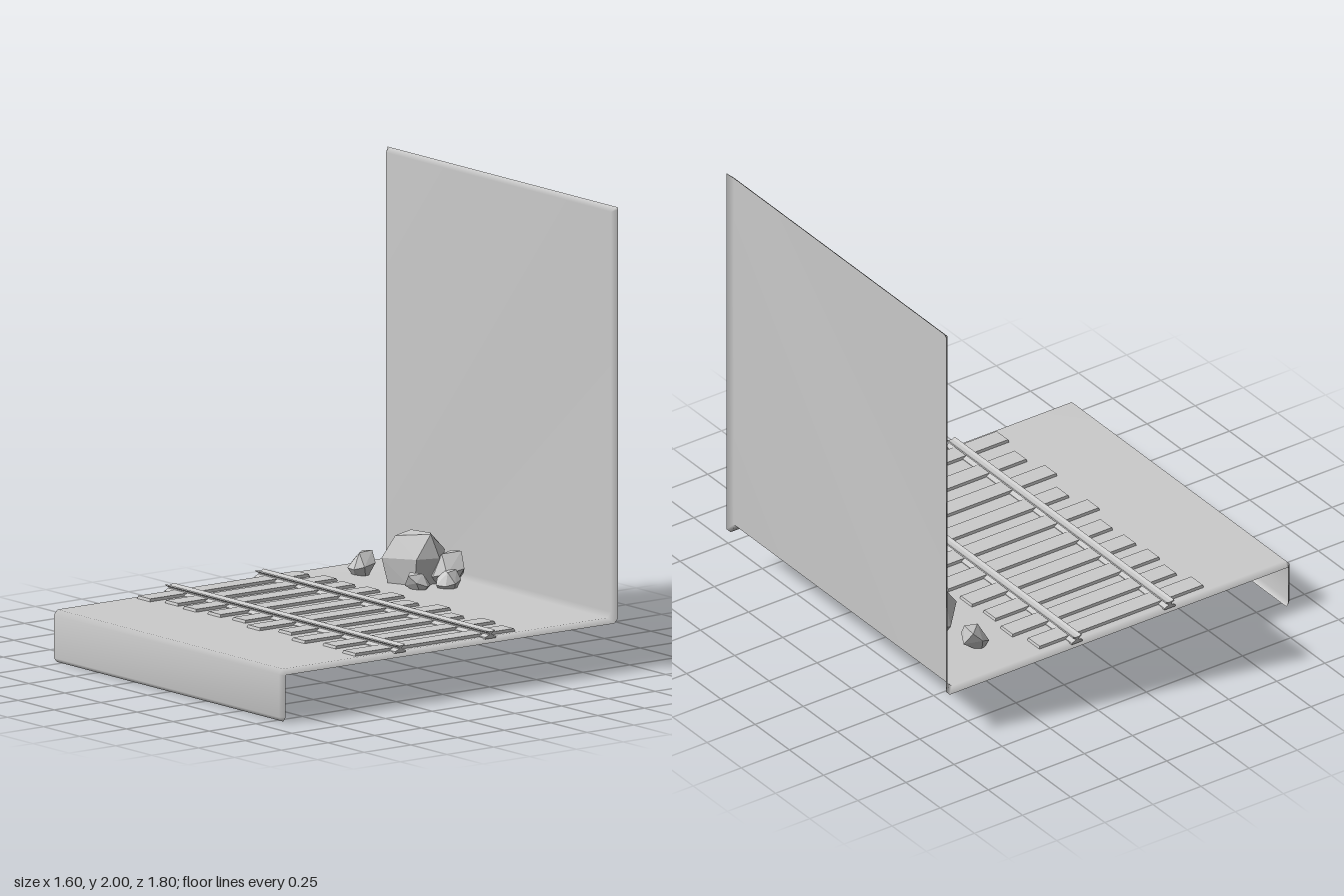
import * as THREE from 'three';
import { ConvexGeometry } from 'three/addons/geometries/ConvexGeometry.js';

const smooth = new THREE.MeshStandardMaterial({ color: 0xcccccc, side: THREE.DoubleSide });
const flat = new THREE.MeshStandardMaterial({ color: 0xcccccc, flatShading: true, side: THREE.DoubleSide });

function add(parent, name, geometry, material = flat) {
  const mesh = new THREE.Mesh(geometry, material);
  mesh.name = name;
  parent.add(mesh);
  return mesh;
}

// Bent sheet: front skirt, floor and back wall, with a bevelled rim folded behind it
function sheetGeometry() {
  // [z, y] of the visible face and of the rim behind it, from skirt bottom to wall top
  const face = [[0.9, 0.02], [0.9, 0.205], [0.88, 0.227], [-0.855, 0.227], [-0.877, 0.25], [-0.877, 1.98]];
  const rim = [[0.88, 0.02], [0.88, 0.2], [0.875, 0.203], [-0.88, 0.203], [-0.9, 0.225], [-0.9, 1.99]];
  const rows = [[[0.88, 0], [0.88, 0]]];
  face.forEach((f, i) => rows.push([rim[i], f]));
  rows.push([[-0.9, 2], [-0.9, 2]]);
  const pos = [], index = [];
  rows.forEach(([r, f], i) => {
    const outer = i === 0 ? 0.785 : 0.8;
    const inner = i === rows.length - 1 ? 0.79 : 0.78;
    [[-outer, r], [-inner, f], [inner, f], [outer, r]].forEach(([x, p]) => pos.push(x, p[1], p[0]));
  });
  for (let i = 0; i < rows.length - 1; i++) {
    for (let j = 0; j < 3; j++) {
      const a = i * 4 + j, b = a + 1, c = a + 4, d = a + 5;
      index.push(a, b, d, a, d, c);
    }
  }
  const g = new THREE.BufferGeometry();
  g.setAttribute('position', new THREE.Float32BufferAttribute(pos, 3));
  g.setIndex(index);
  g.computeVertexNormals();
  return g;
}

// Sleeper: a low plank whose top edges are drawn in
function sleeperGeometry(width, length) {
  const g = new THREE.BoxGeometry(width, 0.022, length);
  const p = g.attributes.position;
  for (let i = 0; i < p.count; i++) {
    if (p.getY(i) > 0) {
      p.setX(i, p.getX(i) - Math.sign(p.getX(i)) * 0.006);
      p.setZ(i, p.getZ(i) - Math.sign(p.getZ(i)) * 0.006);
    }
  }
  return g;
}

// Rail: waisted section, wide foot and flared head, swept along x
function railGeometry() {
  const half = [[0.028, 0.222], [0.028, 0.23], [0.007, 0.239], [0.007, 0.244], [0.023, 0.253], [0.021, 0.258], [0.008, 0.252]];
  const outline = [...half, ...half.map(([z, y]) => [-z, y]).reverse()];
  const shape = new THREE.Shape(outline.map(([z, y]) => new THREE.Vector2(z, y)));
  return new THREE.ExtrudeGeometry(shape, { depth: 1.6, bevelEnabled: false })
    .translate(0, 0, -0.8).rotateY(Math.PI / 2);
}

const hull = (points) => new ConvexGeometry(points.map((p) => new THREE.Vector3(...p)));

// Unit stone, fitted to each small rock
const STONE = [
  [-0.5, 0.1, -0.1], [-0.3, 0.42, -0.4], [0.25, 0.5, -0.3], [0.05, 0.45, 0.2], [0.5, 0.1, -0.2],
  [0.4, 0, 0.3], [0.05, -0.1, 0.5], [-0.4, -0.1, 0.35], [-0.25, -0.5, 0.1], [0.25, -0.5, 0.05], [0.1, -0.1, -0.5],
];

export function createModel() {
  const model = new THREE.Group();
  model.name = 'railwayDiorama';

  add(model, 'backdropSheet', sheetGeometry(), smooth);

  // Sleepers: [x, z], laid slightly unevenly
  const track = new THREE.Group();
  track.name = 'track';
  model.add(track);
  [[-0.71, 0.046], [-0.565, 0.009], [-0.42, 0.024], [-0.27, 0.009], [-0.112, -0.001], [0.05, 0.046],
    [0.207, -0.001], [0.378, 0.059], [0.545, 0.022], [0.717, 0.05]].forEach(([x, z]) => {
    add(track, 'sleeper', sleeperGeometry(0.095, 0.86)).position.set(x, 0.228, z);
  });

  // Two rails
  [0.265, -0.217].forEach((z) => {
    add(track, 'rail', railGeometry()).position.z = z;
  });

  // Rocks against the back wall
  const rocks = new THREE.Group();
  rocks.name = 'rocks';
  model.add(rocks);
  add(rocks, 'boulder', hull([
    [-0.43, 0.425, -0.74], [-0.27, 0.44, -0.72], [-0.24, 0.44, -0.7], [-0.37, 0.425, -0.61],
    [-0.41, 0.36, -0.785], [-0.365, 0.33, -0.8], [-0.265, 0.36, -0.795], [-0.205, 0.34, -0.72],
    [-0.235, 0.34, -0.62], [-0.38, 0.335, -0.545], [-0.478, 0.295, -0.645], [-0.465, 0.31, -0.74],
    [-0.36, 0.2, -0.57], [-0.43, 0.215, -0.66], [-0.25, 0.2, -0.62], [-0.22, 0.21, -0.72], [-0.36, 0.195, -0.76],
  ]));
  // [x, y, z, width, height, depth, turn]
  [[-0.215, 0.28, -0.765, 0.165, 0.17, 0.16, 0],
    [-0.133, 0.25, -0.71, 0.105, 0.1, 0.1, 0.6],
    [-0.187, 0.25, -0.59, 0.08, 0.09, 0.11, 2.6],
    [-0.573, 0.268, -0.588, 0.115, 0.125, 0.115, 0.2]].forEach(([x, y, z, w, h, d, turn]) => {
    const stone = add(rocks, 'stone', hull(STONE));
    stone.position.set(x, y, z);
    stone.scale.set(w, h, d);
    stone.rotation.y = turn;
  });

  return model;
}
